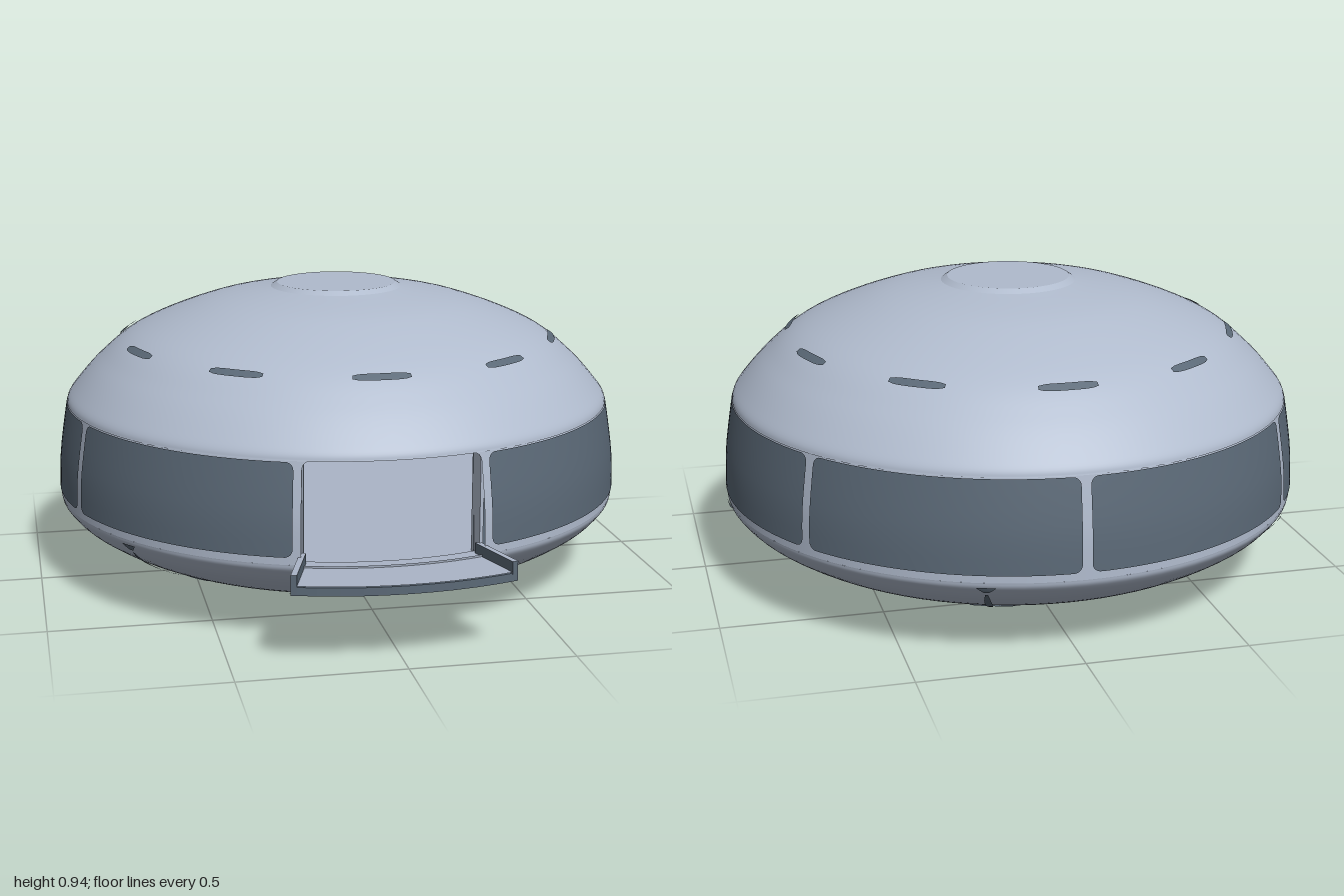
import * as THREE from 'three';

const hull = new THREE.MeshStandardMaterial({ color: 0xb0bbcd, side: THREE.DoubleSide });
hull.name = 'paleHull';
const dark = new THREE.MeshStandardMaterial({ color: 0x5b6977, side: THREE.DoubleSide });
dark.name = 'slateGlass';
const deck = new THREE.MeshStandardMaterial({ color: 0xabb5c7, side: THREE.DoubleSide });
deck.name = 'paleDeck';

const rad = THREE.MathUtils.degToRad;
const TAU = Math.PI * 2;
const DOOR = rad(17.4);

// Smooth profile through a few [radius, height] points
const profile = (pts, n) =>
  new THREE.SplineCurve(pts.map(p => new THREE.Vector2(...p))).getPoints(n);
const lowerProfile = profile([[0.32, 0], [0.53, 0.045], [0.73, 0.11], [0.855, 0.18], [0.91, 0.235], [0.92, 0.26]], 30);
const wallProfile = profile([[0.92, 0.26], [0.916, 0.38], [0.903, 0.48], [0.888, 0.57]], 12);
const domeProfile = profile([[0.892, 0.565], [0.875, 0.6], [0.785, 0.7], [0.66, 0.795], [0.43, 0.885], [0.215, 0.927]], 36);

function radiusAt(pts, y) {
  for (let i = 1; i < pts.length; i++) {
    if (y <= pts[i].y) {
      const a = pts[i - 1], b = pts[i];
      return THREE.MathUtils.lerp(a.x, b.x, (y - a.y) / (b.y - a.y));
    }
  }
  return pts[pts.length - 1].x;
}

function add(parent, name, geometry, material) {
  const mesh = new THREE.Mesh(geometry, material);
  mesh.name = name;
  parent.add(mesh);
  return mesh;
}

const lathe = (pts, start = 0, length = TAU, segs = 96) =>
  new THREE.LatheGeometry(pts.map(p => (p.isVector2 ? p : new THREE.Vector2(...p))), segs, start, length);

function flat(geometry) {
  const g = geometry.toNonIndexed();
  g.computeVertexNormals();
  return g;
}

// Plate lying on a profile: at(u, v) gives [angle, height] for u, v in 0..1
function patch(pts, cols, rows, at, lift = 0.004) {
  const pos = [], idx = [];
  for (let i = 0; i <= cols; i++) {
    for (let j = 0; j <= rows; j++) {
      const [a, y] = at(i / cols, j / rows);
      const r = radiusAt(pts, y) + lift;
      const dy = pts === domeProfile ? lift : pts === lowerProfile ? -lift : 0;
      pos.push(r * Math.sin(a), y + dy, r * Math.cos(a));
      if (i < cols && j < rows) {
        const k = i * (rows + 1) + j, m = k + rows + 1;
        idx.push(k, m, k + 1, m, m + 1, k + 1);
      }
    }
  }
  const g = new THREE.BufferGeometry();
  g.setAttribute('position', new THREE.Float32BufferAttribute(pos, 3));
  g.setIndex(idx);
  g.computeVertexNormals();
  return g;
}

// Height lost near a rounded corner, d being the distance from the side edge
const cornerInset = (d, r) => (d >= r ? 0 : r - Math.sqrt(r * r - (r - d) * (r - d)));

// Columns crowd towards both ends so the corners come out round
const ease = u => 0.5 - 0.5 * Math.cos(Math.PI * u);

function windowPane(mid, half) {
  return patch(wallProfile, 40, 6, (u, v) => {
    const t = ease(u) * 2 - 1;
    const inset = cornerInset((1 - Math.abs(t)) * half * 0.9, 0.025);
    return [mid + t * half, THREE.MathUtils.lerp(0.283 + inset, 0.562 - inset, v)];
  });
}

function slot(pts, mid, y, height, half) {
  return patch(pts, 10, 2, (u, v) => {
    const t = u * 2 - 1;
    const h = height * (1 - 0.5 * t ** 6);
    return [mid + t * half, y + (v - 0.5) * h];
  });
}

export function createModel() {
  const model = new THREE.Group();
  model.name = 'saucerPavilion';
  const body = new THREE.Group();
  body.name = 'body';
  body.position.z = -0.08;
  model.add(body);

  // Shell
  add(body, 'lowerHull', lathe(lowerProfile), hull);
  add(body, 'wall', lathe(wallProfile, DOOR, TAU - 2 * DOOR), hull);
  add(body, 'dome', lathe(domeProfile), hull);
  add(body, 'domeCapEdge', lathe([[0.215, 0.927], [0.195, 0.94]]), hull);
  add(body, 'domeCap', lathe([[0.195, 0.94], [0, 0.94]]), hull);

  // Rounded top corners of the doorway
  add(body, 'doorArch', patch(wallProfile, 40, 2, (u, v) => {
    const t = ease(u) * 2 - 1;
    const inset = cornerInset((1 - Math.abs(t)) * DOOR * 0.9, 0.025);
    return [t * DOOR, 0.568 - (1 - v) * (inset + 0.003)];
  }, 0), hull);

  // Window panes, three each side of the door
  for (let i = 0; i < 6; i++) {
    add(body, 'window', windowPane(rad(45 + 54 * i), rad(26.1)), dark);
  }

  // Room seen through the doorway
  add(body, 'innerWall', lathe([[0.845, 0.58], [0.86, 0.25]], DOOR, TAU - 2 * DOOR), dark);
  add(body, 'ceiling', lathe([[0, 0.58], [0.87, 0.58]]), dark);
  add(body, 'floor', lathe([[0.915, 0.25], [0, 0.25]]), deck);
  for (const s of [-1, 1]) {
    const jamb = add(body, 'doorJamb', new THREE.BoxGeometry(0.012, 0.32, 0.045), hull);
    const a = s * (DOOR + 0.008);
    jamb.position.set(0.866 * Math.sin(a), 0.41, 0.866 * Math.cos(a));
    jamb.rotation.y = a;
  }

  // Entrance balcony
  const slab = lathe([[0.86, 0.225], [1.08, 0.225], [1.08, 0.25], [0.86, 0.25], [0.86, 0.225]], -DOOR, 2 * DOOR, 10);
  add(body, 'balconySlab', flat(slab), dark);
  const top = new THREE.RingGeometry(0.86, 1.08, 10, 1, -Math.PI / 2 - DOOR, 2 * DOOR);
  top.rotateX(-Math.PI / 2);
  add(body, 'balconyFloor', top, deck).position.y = 0.253;
  for (const s of [-1, 1]) {
    const kerb = add(body, 'balconyKerb', new THREE.BoxGeometry(0.018, 0.06, 0.2),
      [dark, dark, deck, dark, dark, dark]);
    const a = s * DOOR;
    kerb.position.set(0.98 * Math.sin(a), 0.255, 0.98 * Math.cos(a));
    kerb.rotation.y = a;
  }

  // Vent slots around dome and belly
  for (let i = 0; i < 10; i++) {
    add(body, 'domeVent', slot(domeProfile, rad(36 * i), 0.767, 0.016, rad(7.2)), dark);
    add(body, 'bellyVent', slot(lowerProfile, rad(18 + 36 * i), 0.085, 0.018, rad(6)), dark);
  }

  // Narrow leg sockets on the lower hull
  for (let i = 0; i < 5; i++) {
    const mid = rad(18 + 72 * i);
    add(body, 'legSocket', patch(lowerProfile, 2, 8, (u, v) =>
      [mid + (u * 2 - 1) * 0.013 * Math.sin(Math.PI * (0.12 + 0.76 * v)), 0.1 + 0.12 * v]), dark);
    add(body, 'legSocketHead', patch(lowerProfile, 2, 2, (u, v) =>
      [mid + (u * 2 - 1) * (0.008 + 0.024 * v), 0.23 + 0.02 * v]), dark);
  }

  // Stepped recess under the belly
  const steps = [[0.32, 0], [0.295, 0], [0.28, 0.06], [0.25, 0.06], [0.235, 0.1], [0.2, 0.1]];
  for (let i = 1; i < steps.length; i++) {
    add(body, 'recessStep', lathe([steps[i], steps[i - 1]]), hull);
  }
  add(body, 'recessWall', lathe([[0.2, 0.1], [0.175, 0.13]]), dark);
  add(body, 'recessHatch', lathe([[0, 0.13], [0.175, 0.13]]), dark);

  return model;
}
